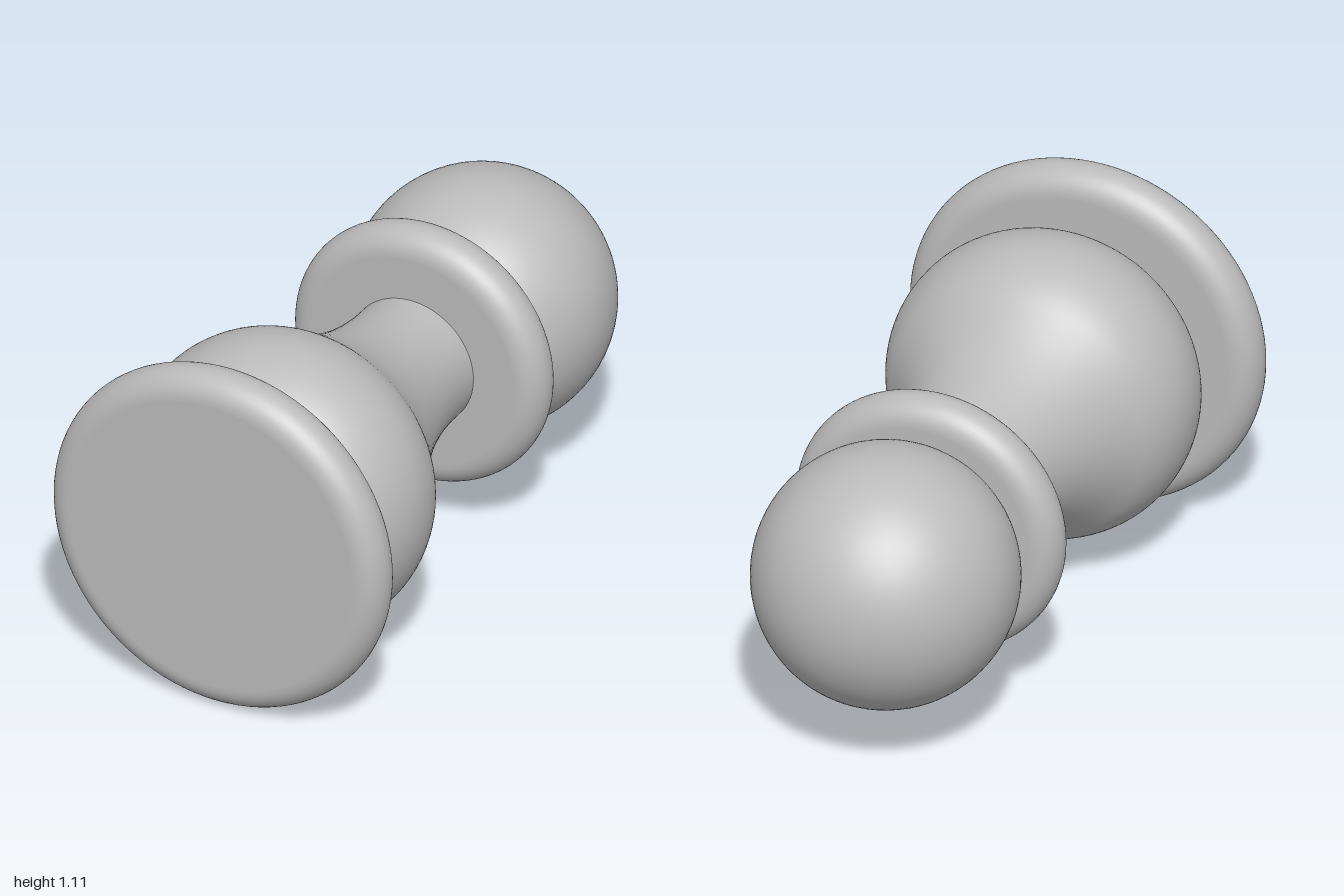
import * as THREE from 'three';

const SEGMENTS = 96;

// Points (radius, height) along an arc of a profile circle.
function arc(cx, cy, r, from, to, steps) {
  return Array.from({ length: steps + 1 }, (_, i) => {
    const a = from + (to - from) * i / steps;
    return new THREE.Vector2(cx + r * Math.cos(a), cy + r * Math.sin(a));
  });
}

// Disc with a fully rounded rim, turned around the y axis.
function roundedDisc(radius, low, high) {
  const r = (high - low) / 2;
  const inner = radius - r;
  return new THREE.LatheGeometry([
    new THREE.Vector2(0, low),
    new THREE.Vector2(inner - 0.005, low),
    ...arc(inner, low + r, r, -Math.PI / 2, Math.PI / 2, 20),
    new THREE.Vector2(inner - 0.005, high),
    new THREE.Vector2(0, high),
  ], SEGMENTS);
}

// Slim flared neck running tangentially into a rounded belly.
function bodyGeometry() {
  const bellyR = 0.32, bellyX = 0.15, bellyY = 0.585, neckRadius = 0.206;
  const join = Math.atan2(-0.2, 0.25);
  const c = Math.cos(join), s = Math.sin(join);
  const flareR = (bellyX + c * bellyR - neckRadius) / (1 - c);
  const flareX = neckRadius + flareR;
  const flareY = bellyY + s * (bellyR + flareR);
  return new THREE.LatheGeometry([
    new THREE.Vector2(neckRadius, -0.26),
    ...arc(flareX, flareY, flareR, Math.PI, Math.PI + join, 28),
    ...arc(bellyX, bellyY, bellyR, join, 1.0, 32).slice(1),
  ], SEGMENTS);
}

export function createModel() {
  const gray = new THREE.MeshStandardMaterial({ color: 0xbbbbbb });
  gray.name = 'gray';

  const model = new THREE.Group();
  model.name = 'pawn';

  // The piece is turned upright, then laid down with its base facing +z.
  const piece = new THREE.Group();
  piece.name = 'lyingPiece';
  piece.rotation.x = Math.PI / 2;
  piece.position.y = 0.553;
  model.add(piece);

  const add = (name, geometry, along = 0) => {
    const mesh = new THREE.Mesh(geometry, gray);
    mesh.name = name;
    mesh.position.y = along;
    piece.add(mesh);
  };

  add('base', roundedDisc(0.553, 0.845, 1.0));
  add('body', bodyGeometry());
  add('collar', roundedDisc(0.419, -0.34, -0.188));
  add('head', new THREE.SphereGeometry(0.394, SEGMENTS, 48), -0.606);

  return model;
}
